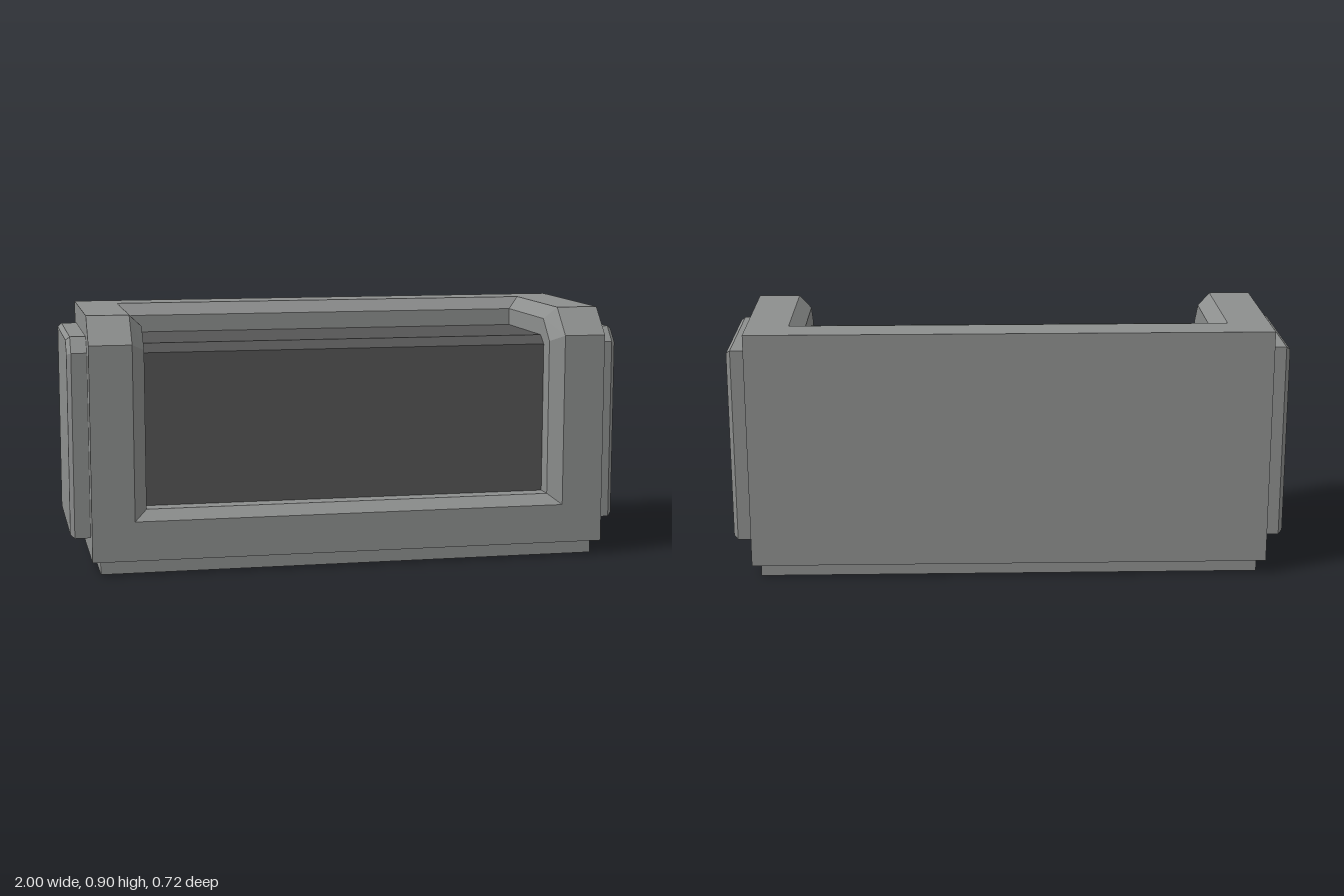
import * as THREE from 'three';

const shellMat = new THREE.MeshStandardMaterial({ name: 'shellGrey', color: 0x8d8f8e, side: THREE.DoubleSide });
const screenMat = new THREE.MeshStandardMaterial({ name: 'darkGrey', color: 0x555555, side: THREE.DoubleSide });

// Flat-shaded mesh from convex polygons (arrays of [x, y, z], counter-clockwise)
function polyMesh(name, polygons, material) {
  const pos = [];
  for (const p of polygons) {
    for (let i = 1; i < p.length - 1; i++) pos.push(...p[0], ...p[i], ...p[i + 1]);
  }
  const geo = new THREE.BufferGeometry();
  geo.setAttribute('position', new THREE.Float32BufferAttribute(pos, 3));
  geo.computeVertexNormals();
  const mesh = new THREE.Mesh(geo, material);
  mesh.name = name;
  return mesh;
}

// Quads joining each closed loop to the next
function loft(loops) {
  const quads = [];
  for (let k = 0; k < loops.length - 1; k++) {
    const a = loops[k], b = loops[k + 1];
    a.forEach((p, i) => {
      const j = (i + 1) % a.length;
      quads.push([p, a[j], b[j], b[i]]);
    });
  }
  return quads;
}

// A [z, y] path swept across x
function strip(path, xa, xb) {
  return path.slice(1).map(([z1, y1], i) => {
    const [z0, y0] = path[i];
    return [[xa, y0, z0], [xb, y0, z0], [xb, y1, z1], [xa, y1, z1]];
  });
}

// A [z, y] profile placed at x
const at = (profile, x) => profile.map(([z, y]) => [x, y, z]);

export function createModel() {
  const model = new THREE.Group();
  model.name = 'cabinet';

  // Window edge, at the surface and at the foot of its bevel
  const rim = [[0.36, 0.19], [0.36, 0.81], [0.262, 0.905], [-0.225, 0.905]];
  const lip = [[0.315, 0.225], [0.315, 0.787], [0.24, 0.862], [-0.185, 0.862]];
  const W = 0.93, RIM = 0.78, LIP = 0.735;

  // Outer casing: sill, pillars beside the window, back
  model.add(polyMesh('casing', [
    ...strip([[0.36, 0.05], rim[0]], -W, W),
    ...strip(rim, RIM, W),
    ...strip(rim, -W, -RIM),
    ...strip([rim[3], [-0.36, 0.905], [-0.36, 0.05]], -W, W),
  ], shellMat));

  // Bevelled frame around the wrap-over window
  const frame = (path, x) => [...at(path, x), ...at(path, -x).reverse()];
  model.add(polyMesh('windowBevel', loft([frame(rim, RIM), frame(lip, LIP)]), shellMat));

  // Recess floor, back and cheeks
  const floorBack = [-0.185, 0.225];
  const cheek = [...lip, floorBack];
  model.add(polyMesh('recess', [
    ...strip([lip[0], floorBack, lip[3]], -LIP, LIP),
    at(cheek, LIP),
    at(cheek, -LIP).reverse(),
  ], shellMat));

  // Dark screen set into the recess
  model.add(polyMesh('screen',
    strip([[0.25, 0.225], [0.25, 0.77], [0.21, 0.8], [-0.185, 0.8]], -LIP, LIP), screenMat));

  // End walls, each with a raised bevelled panel
  const wall = [[0.36, 0.05], [-0.36, 0.05], [-0.36, 0.905], [0.262, 0.905], [0.36, 0.81]];
  const panel = [[0.283, 0.123], [-0.282, 0.123], [-0.282, 0.83], [0.232, 0.83], [0.283, 0.777]];
  const face = [[0.27, 0.136], [-0.269, 0.136], [-0.269, 0.818], [0.226, 0.818], [0.27, 0.772]];
  for (const side of [1, -1]) {
    const loops = [at(wall, W), at(panel, W), at(panel, 0.985), at(face, 1)];
    const polys = [...loft(loops), loops[3]].map((poly) =>
      side > 0 ? poly : poly.map(([x, y, z]) => [-x, y, z]).reverse());
    model.add(polyMesh(side > 0 ? 'leftEnd' : 'rightEnd', polys, shellMat));
  }

  // Inset plinth, open underneath
  const rect = (x, z, y) => [[x, y, -z], [x, y, z], [-x, y, z], [-x, y, -z]];
  model.add(polyMesh('plinth',
    loft([rect(W, 0.36, 0.05), rect(0.9, 0.328, 0.05), rect(0.9, 0.328, 0)]), shellMat));

  return model;
}
